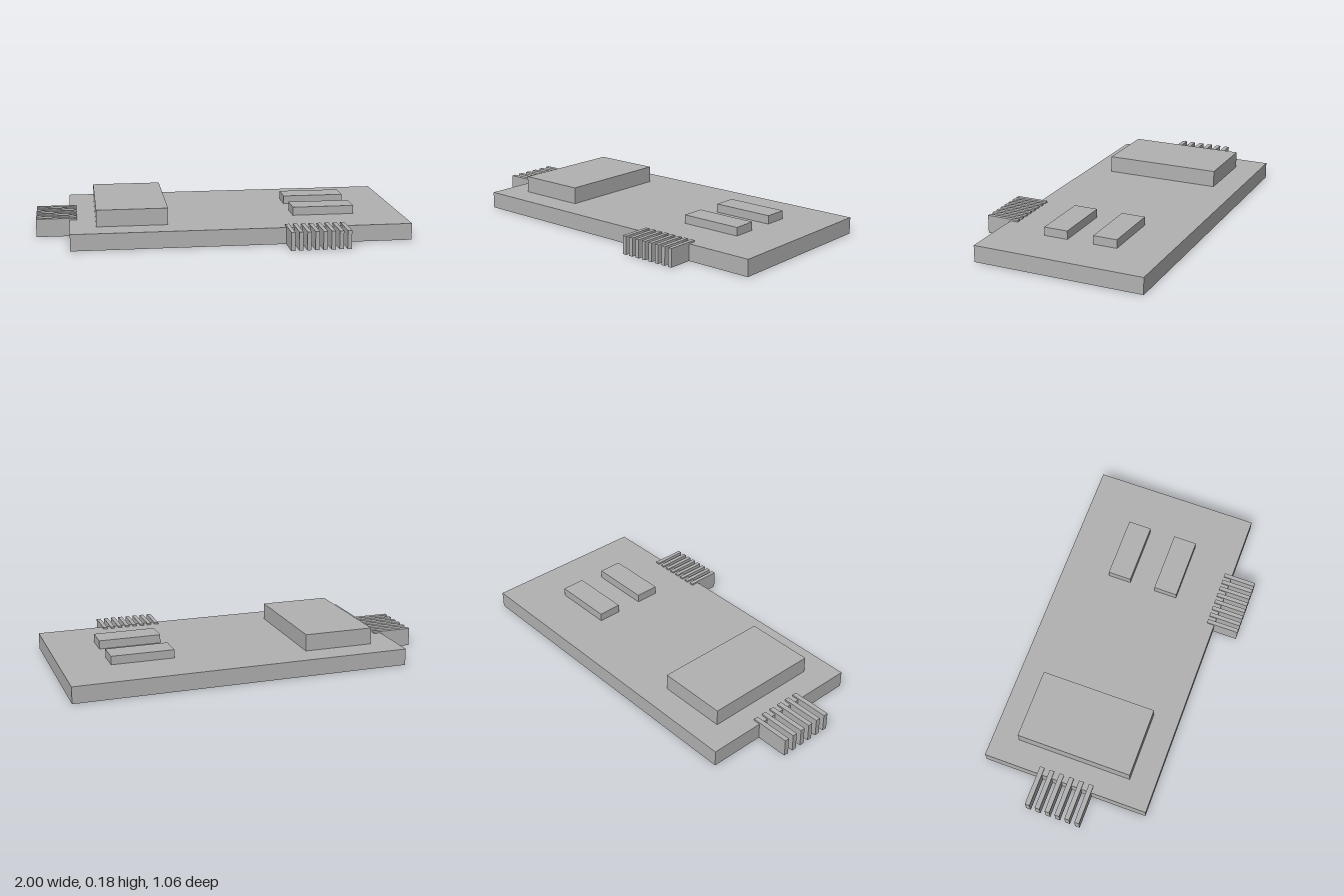
import * as THREE from 'three';

export function createModel() {
  const model = new THREE.Group();
  model.name = 'circuitBoard';
  const grey = new THREE.MeshStandardMaterial({ color: 0xb2b2b2 });
  grey.name = 'grey';

  // Box given by its lower and upper limits on each axis
  function block(name, [x0, x1], [y0, y1], [z0, z1], parent = model) {
    const mesh = new THREE.Mesh(new THREE.BoxGeometry(x1 - x0, y1 - y0, z1 - z0), grey);
    mesh.position.set((x0 + x1) / 2, (y0 + y1) / 2, (z0 + z1) / 2);
    mesh.name = name;
    parent.add(mesh);
  }

  // Board and the components on top
  block('board', [-0.82, 1], [0, 0.09], [-0.53, 0.393]);
  block('largeChip', [-0.68, -0.298], [0.09, 0.181], [-0.387, 0.252]);
  block('smallChipBack', [0.4, 0.74], [0.09, 0.136], [-0.27, -0.14]);
  block('smallChipFront', [0.4, 0.74], [0.09, 0.136], [0.005, 0.136]);

  // Row of six contacts on the right edge
  const sidePins = new THREE.Group();
  sidePins.name = 'sidePins';
  for (let i = 0; i < 6; i++) {
    const z = -0.212 + i * 0.0564;
    block('sidePin', [-1, -0.78], [0, 0.099], [z - 0.013, z + 0.013], sidePins);
  }

  // Row of eight contacts on the front edge
  const frontPins = new THREE.Group();
  frontPins.name = 'frontPins';
  for (let i = 0; i < 8; i++) {
    const x = 0.327 + i * 0.0428;
    block('frontPin', [x - 0.011, x + 0.011], [0, 0.099], [0.35, 0.53], frontPins);
  }

  model.add(sidePins, frontPins);
  return model;
}
